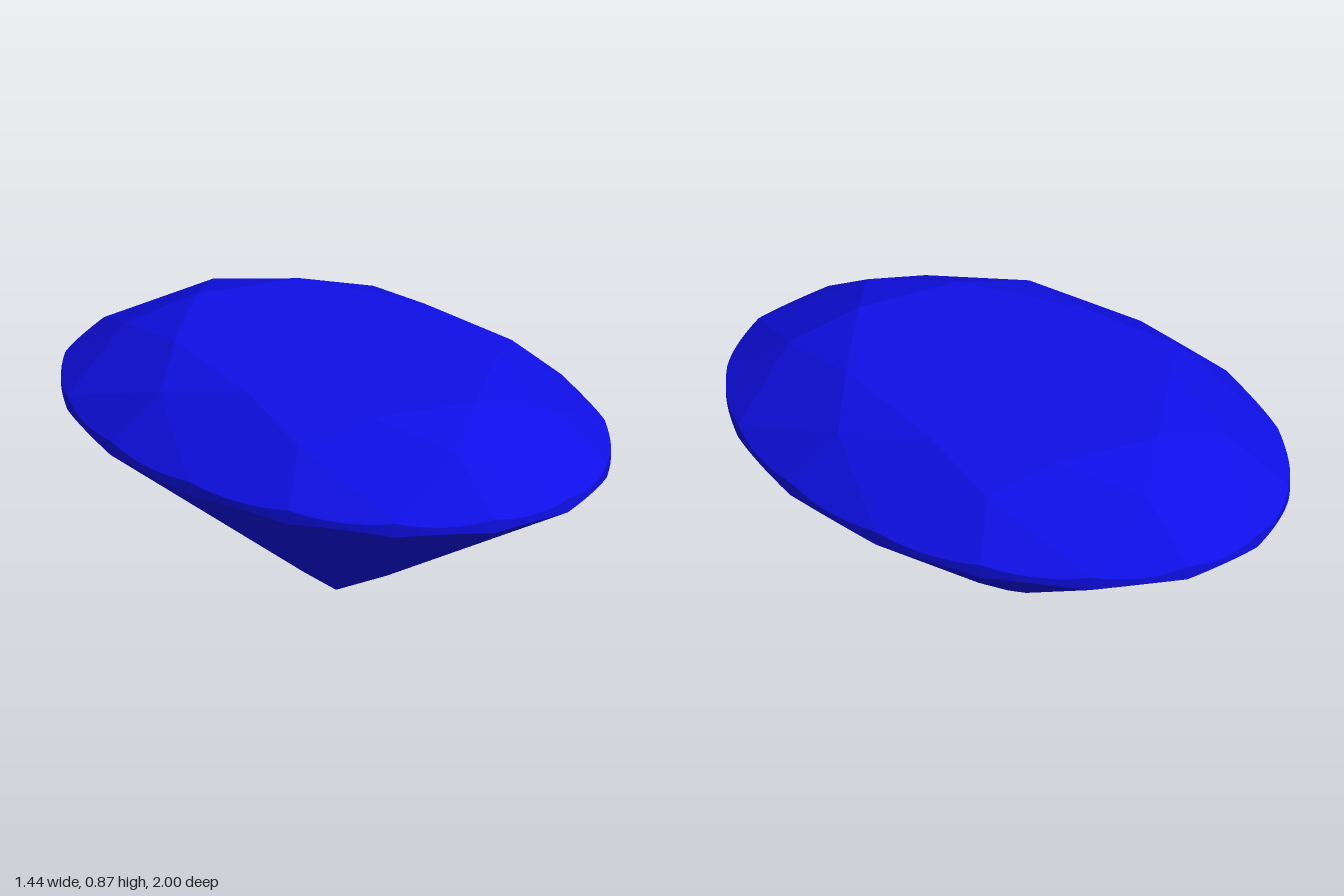
import * as THREE from 'three';

// The stone is cut as a round brilliant of radius 1, then squeezed to an oval.
const OVAL = 0.72;
const TABLE_Y = 0.87, TABLE_R = 0.6;
const CROWN_Y = 0.655, PAVILION_Y = 0.605;
const STAR_R = 0.78, LOWER_R = 0.22;
const STEP = Math.PI / 8; // half of one eighth of the stone
const ARC = 8;            // girdle steps per half facet

const at = (r, y, a) => new THREE.Vector3(r * Math.sin(a), y, r * Math.cos(a));
const inside = new THREE.Vector3(0, 0.5, 0);

// Fan triangles for one flat facet, turned to face outward
function addFacet(list, pts) {
  const n = new THREE.Plane().setFromCoplanarPoints(pts[0], pts[1], pts[pts.length - 1]);
  const p = n.distanceToPoint(inside) > 0 ? [...pts].reverse() : pts;
  for (let i = 1; i < p.length - 1; i++) list.push(p[0], p[i], p[i + 1]);
}

// Where the plane of a half facet cuts the round girdle: a shallow scallop
function girdleArc(tip, y, a0, a1) {
  const plane = new THREE.Plane().setFromCoplanarPoints(tip, at(1, y, a0), at(1, y, a1));
  const n = plane.normal, pts = [];
  for (let i = 0; i <= ARC; i++) {
    const p = at(1, y, a0 + (a1 - a0) * i / ARC);
    p.y = -(plane.constant + n.x * p.x + n.z * p.z) / n.y;
    pts.push(p);
  }
  return pts;
}

export function createModel() {
  const group = new THREE.Group();
  const material = new THREE.MeshStandardMaterial({ color: 0x0f0fe6 });

  function addPart(name, points, index) {
    const geometry = new THREE.BufferGeometry().setFromPoints(points);
    if (index) geometry.setIndex(index);
    geometry.scale(OVAL, 1, 1);
    geometry.computeVertexNormals();
    const mesh = new THREE.Mesh(geometry, material);
    mesh.name = name;
    group.add(mesh);
  }

  // Key points: star tips lie in the bezel planes, lower tips in the main planes
  const c = Math.cos(STEP);
  const starY = TABLE_Y - (STAR_R * c - TABLE_R) * (TABLE_Y - CROWN_Y) / (1 - TABLE_R);
  const lowerY = PAVILION_Y * LOWER_R * c;
  const culet = new THREE.Vector3(0, 0, 0);

  const table = [], crown = [], pavilion = [], upperEdge = [], lowerEdge = [], corners = [];
  for (let k = 0; k < 8; k++) {
    const a = k * 2 * STEP, mid = a + STEP, next = a + 2 * STEP;
    const corner = at(TABLE_R, TABLE_Y, a);
    const star = at(STAR_R, starY, mid);
    corners.push(corner);

    // Crown: star, bezel kite and two upper halves
    addFacet(crown, [corner, star, at(TABLE_R, TABLE_Y, next)]);
    addFacet(crown, [corner, at(STAR_R, starY, a - STEP), at(1, CROWN_Y, a), star]);
    const upper = [girdleArc(star, CROWN_Y, a, mid), girdleArc(star, CROWN_Y, mid, next)];
    upper.forEach(arc => addFacet(crown, [star, ...arc]));

    // Pavilion: main kite and two lower halves
    const low = at(LOWER_R, lowerY, a), lowNext = at(LOWER_R, lowerY, next);
    addFacet(pavilion, [culet, low, at(1, PAVILION_Y, mid), lowNext]);
    const lower = [girdleArc(low, PAVILION_Y, a, mid), girdleArc(lowNext, PAVILION_Y, mid, next)];
    lower.forEach(arc => addFacet(pavilion, [arc === lower[0] ? low : lowNext, ...arc]));

    upper.forEach(arc => upperEdge.push(...arc.slice(0, ARC)));
    lower.forEach(arc => lowerEdge.push(...arc.slice(0, ARC)));
  }
  addFacet(table, corners);

  addPart('table', table);
  addPart('crown', crown);
  addPart('pavilion', pavilion);

  // Smooth girdle band between the two scalloped edges
  const n = upperEdge.length, index = [];
  for (let i = 0; i < n; i++) {
    const j = (i + 1) % n;
    index.push(i, n + i, n + j, i, n + j, j);
  }
  addPart('girdle', [...upperEdge, ...lowerEdge], index);

  return group;
}
